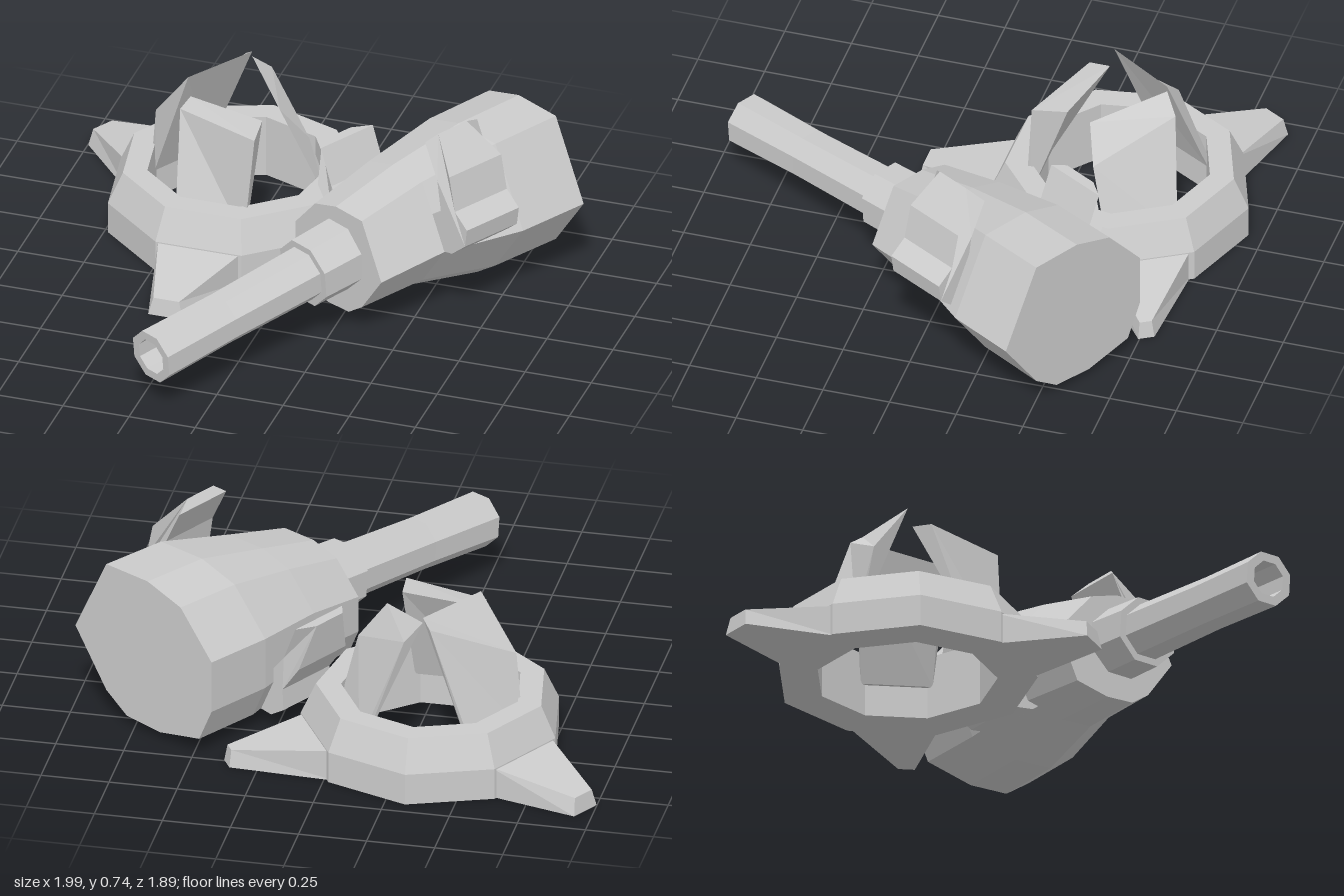
import * as THREE from 'three';

const material = new THREE.MeshStandardMaterial({ color: 0xcccccc, flatShading: true });

function part(name, geometry) {
  const mesh = new THREE.Mesh(geometry, material);
  mesh.name = name;
  return mesh;
}

// Skins a list of equal-length cross-sections and caps both ends
function loft(rings) {
  const n = rings[0].length;
  const out = [];
  const tri = (a, b, c) => out.push(...a, ...b, ...c);
  for (let i = 0; i < rings.length - 1; i++) {
    for (let j = 0; j < n; j++) {
      const k = (j + 1) % n;
      tri(rings[i][j], rings[i][k], rings[i + 1][k]);
      tri(rings[i][j], rings[i + 1][k], rings[i + 1][j]);
    }
  }
  const first = rings[0], last = rings[rings.length - 1];
  for (let j = 1; j < n - 1; j++) {
    tri(first[0], first[j + 1], first[j]);
    tri(last[0], last[j], last[j + 1]);
  }
  const geometry = new THREE.BufferGeometry();
  geometry.setAttribute('position', new THREE.Float32BufferAttribute(out, 3));
  geometry.computeVertexNormals();
  return geometry;
}

function lathe(profile, sides, start = 0) {
  return new THREE.LatheGeometry(profile.map(([r, y]) => new THREE.Vector2(r, y)), sides, start);
}

// Tapered foot pointing along +z
function footGeometry(shift, w) {
  return loft([
    [[0.16, 0, 0.42], [0.16, 0.12, 0.42], [-0.16, 0.12, 0.42], [-0.16, 0, 0.42]],
    [[shift + w, 0, 0.75], [shift + w * 0.75, 0.065, 0.74], [shift - w * 0.75, 0.065, 0.74], [shift - w, 0, 0.75]],
  ]);
}

// Inward-leaning fin; each side gives the height and depth of its top, then of its shoulder
function finGeometry(sides) {
  return loft(sides.map(([yTop, zTop, yMid, zMid], i) => {
    const s = i ? 1 : -1;
    return [
      [s * 0.13, 0.12, 0.3], [s * 0.147, yTop, zTop],
      [s * 0.16, yMid, zMid], [s * 0.13, 0.12, 0.32],
    ];
  }));
}

function createBase() {
  const base = new THREE.Group();
  base.name = 'base';
  base.position.set(-0.325, 0, -0.47);
  base.add(part('baseRing', lathe(
    [[0.33, 0], [0.475, 0], [0.475, 0.12], [0.42, 0.24], [0.33, 0.24], [0.33, 0]], 9, Math.PI)));
  const sectors = [
    { foot: [-0.025, 0.065], fin: [[0.53, 0.09, 0.52, 0.17], [0.52, 0.16, 0.51, 0.29]] },
    { foot: [-0.085, 0.03], fin: [[0.52, 0.125, 0.4, 0.23], [0.58, 0.085, 0.52, 0.16]] },
    { foot: [-0.012, 0.06], fin: [[0.6, 0.085, 0.57, 0.13], [0.6, 0.1, 0.4, 0.26]] },
  ];
  sectors.forEach(({ foot, fin }, i) => {
    const sector = new THREE.Group();
    sector.name = 'baseSector';
    sector.rotation.y = i * Math.PI * 2 / 3;
    sector.add(part('foot', footGeometry(...foot)), part('fin', finGeometry(fin)));
    base.add(sector);
  });
  return base;
}

// Hooked side arm, extruded along the gun and narrowed at its tip
function armGeometry(side) {
  const outline = [
    [0.15, 0], [0.3, 0.03], [0.37, 0.09], [0.38, 0.16], [0.315, 0.21], [0.285, 0.34],
    [0.18, 0.46], [0.155, 0.43], [0.22, 0.3], [0.24, 0.18], [0.15, 0.12],
  ];
  const shape = new THREE.Shape(outline.map(([x, y]) => new THREE.Vector2(side * x, y)));
  const geometry = new THREE.ExtrudeGeometry(shape, { depth: 0.25, bevelEnabled: false });
  geometry.translate(0, 0, 0.33);
  const p = geometry.attributes.position;
  for (let i = 0; i < p.count; i++) {
    if (p.getY(i) > 0.44) p.setZ(i, 0.47 + (p.getZ(i) - 0.455) * 0.55);
  }
  geometry.computeVertexNormals();
  return geometry;
}

function createGun() {
  const gun = new THREE.Group();
  gun.name = 'gun';
  gun.position.set(0.71, 0, -0.6);
  gun.rotation.y = -Math.PI / 6;

  // Body: one irregular polygon, shrinking to a straight front section
  const section = [[0.33, 0], [0.18, 0.3], [-0.02, 0.3], [-0.18, 0.25], [-0.33, 0.08],
    [-0.33, -0.12], [-0.27, -0.25], [-0.08, -0.29], [0.08, -0.28], [0.18, -0.21]];
  const stations = [[0, 1, 0, 0.32], [0.28, 0.99, -0.01, 0.31],
    [0.58, 0.8, -0.035, 0.3], [0.85, 0.7, -0.04, 0.26]];
  gun.add(part('body', loft(stations.map(([z, k, x, y]) =>
    section.map(([u, v]) => [x + u * k, y + v * k, z])))));

  // Barrel and collar share one slightly drooping axis
  const barrelGroup = new THREE.Group();
  barrelGroup.name = 'barrelAssembly';
  barrelGroup.position.set(-0.04, 0.285, 0.8);
  barrelGroup.rotation.x = Math.PI / 2 + 0.088;
  barrelGroup.add(
    part('collar', lathe([[0, 0], [0.135, 0], [0.13, 0.22], [0, 0.22]], 8, Math.PI / 8)),
    part('barrel', lathe([[0, 0.1], [0.105, 0.1], [0.097, 0.62], [0.102, 0.955],
      [0.068, 0.955], [0.068, 0.7], [0, 0.7]], 8, Math.PI / 8)));
  gun.add(barrelGroup);

  // Side arms, mirrored across the rolled gun
  for (const side of [1, -1]) {
    const arm = part(side > 0 ? 'leftArm' : 'rightArm', armGeometry(side));
    arm.position.set(side > 0 ? -0.03 : -0.01, 0.28, 0);
    if (side < 0) arm.rotation.z = 0.86;
    gun.add(arm);
  }
  return gun;
}

export function createModel() {
  const model = new THREE.Group();
  model.name = 'fallenTurret';
  model.add(createBase(), createGun());
  return model;
}
